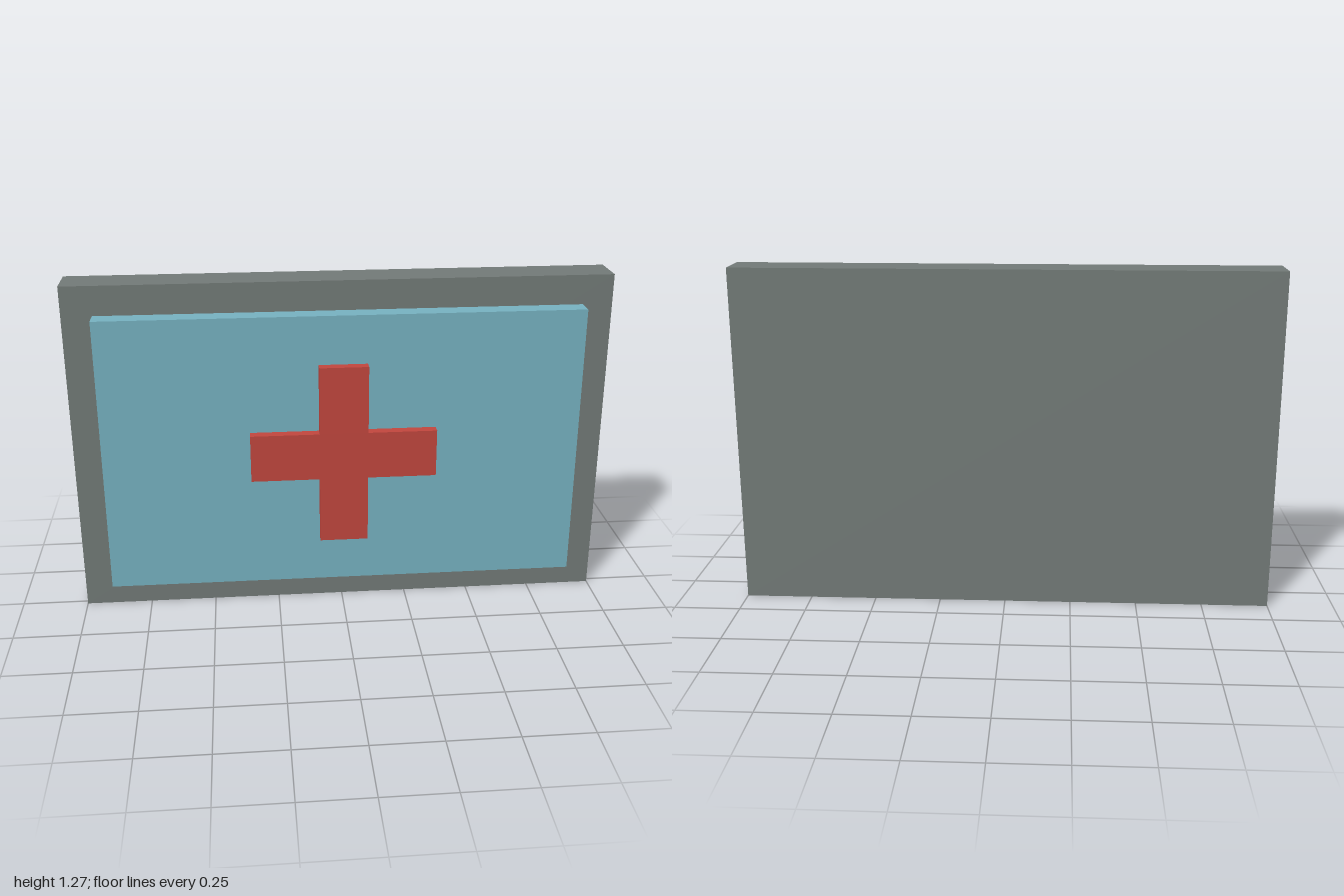
import * as THREE from 'three';

export function createModel() {
  const group = new THREE.Group();
  const material = (name, color) => {
    const m = new THREE.MeshStandardMaterial({ color });
    m.name = name;
    return m;
  };
  const grey = material('frame grey', 0x747c79);
  const blue = material('panel blue', 0x78b4c3);
  const red = material('cross red', 0xc4473f);

  const midY = 0.6375; // shared centre height of all layers

  const add = (name, geometry, mat, z) => {
    const mesh = new THREE.Mesh(geometry, mat);
    mesh.name = name;
    mesh.position.set(0, midY, z);
    group.add(mesh);
  };

  // Backing board and raised panel
  add('backingBoard', new THREE.BoxGeometry(2, 1.275, 0.147), grey, -0.0545);
  add('raisedPanel', new THREE.BoxGeometry(1.78, 1.055, 0.071), blue, 0.0545);

  // Raised cross: one notched corner, rotated four times
  const reach = 0.345, half = 0.09;
  const corner = [[reach, -half], [reach, half], [half, half]];
  const points = [];
  for (let i = 0; i < 4; i++) {
    for (const [x, y] of corner) {
      points.push(new THREE.Vector2(x, y).rotateAround(new THREE.Vector2(), i * Math.PI / 2));
    }
  }
  const cross = new THREE.ExtrudeGeometry(new THREE.Shape(points), { depth: 0.038, bevelEnabled: false });
  add('cross', cross, red, 0.09);

  return group;
}
